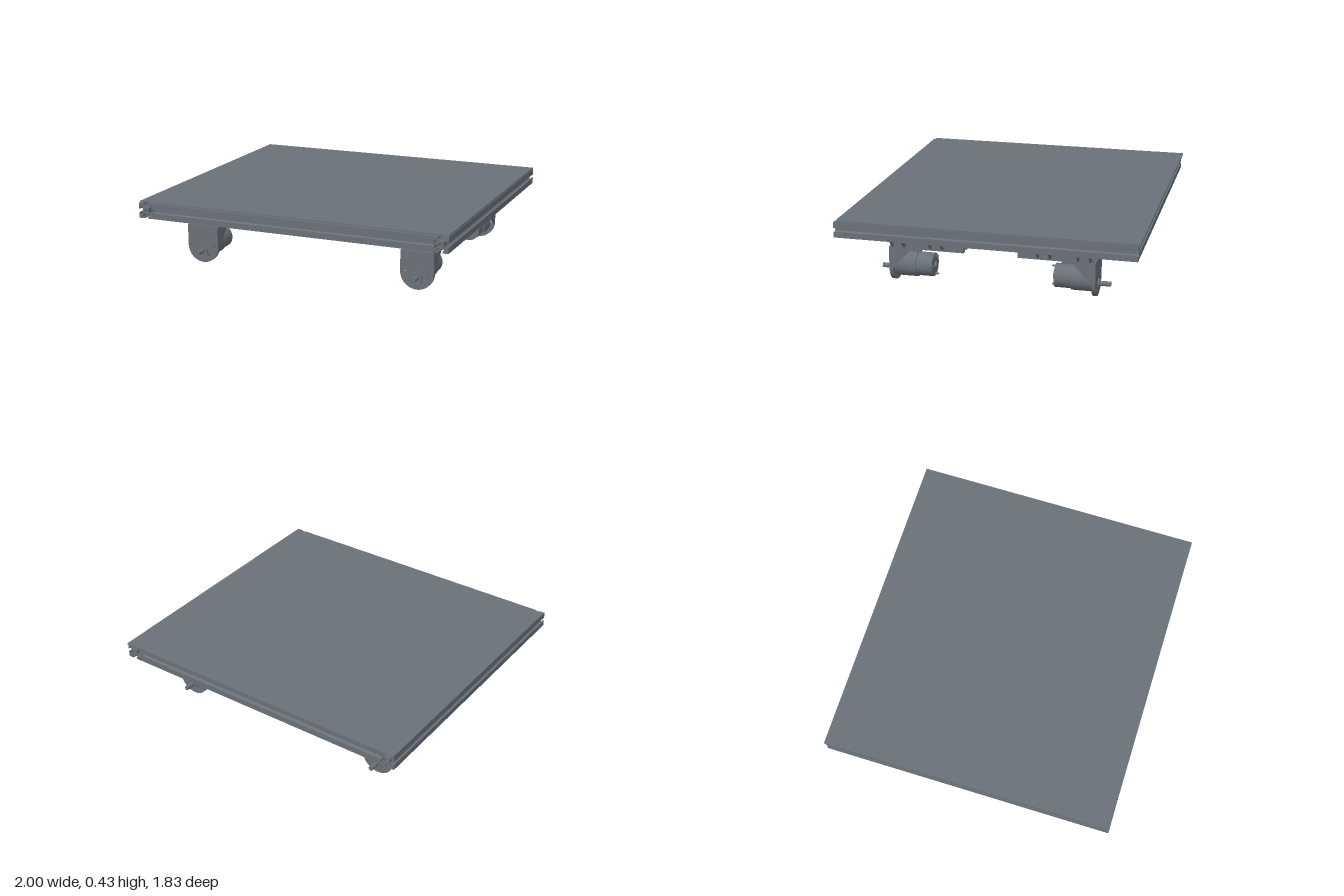
import * as THREE from 'three';

const metal = new THREE.MeshStandardMaterial({ color: 0x6a7178 });
metal.name = 'slate grey metal';

function add(parent, name, geometry, x = 0, y = 0, z = 0) {
  const mesh = new THREE.Mesh(geometry, metal);
  mesh.name = name;
  mesh.position.set(x, y, z);
  parent.add(mesh);
  return mesh;
}

function extrude(shape, depth) {
  return new THREE.ExtrudeGeometry(shape, { depth, bevelEnabled: false, curveSegments: 12 })
    .translate(0, 0, -depth / 2);
}

function polygon(points) {
  return new THREE.Shape(points.map(([x, y]) => new THREE.Vector2(x, y)));
}

function hole(shape, x, y, r) {
  shape.holes.push(new THREE.Path().absarc(x, y, r, 0, Math.PI * 2, true));
}

// Slotted square rail running along z; one quarter of the section is turned four times
const HALF = 0.0475;
const QUARTER = [[0.4, 0.22], [0.68, 0.52], [0.8, 0.52], [0.8, 0.25], [1, 0.25], [1, 1],
  [0.25, 1], [0.25, 0.8], [0.52, 0.8], [0.52, 0.68], [0.22, 0.4]];
function railGeometry(length, half = HALF) {
  const points = [];
  for (let k = 0; k < 4; k++) {
    const c = Math.round(Math.cos(k * Math.PI / 2)), s = Math.round(Math.sin(k * Math.PI / 2));
    for (const [x, y] of QUARTER) points.push([half * (x * c - y * s), half * (x * s + y * c)]);
  }
  const shape = polygon(points);
  hole(shape, 0, 0, half * 0.2);
  return extrude(shape, length);
}

// Cylinder lying along z between two z values
function rod(r, z0, z1, segments = 32) {
  return new THREE.CylinderGeometry(r, r, Math.abs(z1 - z0), segments)
    .rotateX(Math.PI / 2).translate(0, 0, (z0 + z1) / 2);
}

// Angle bracket: legs along +x and -y, closed by two triangular cheeks
function cornerBracket(parent, x, y, z, rx, ry) {
  const g = new THREE.Group();
  g.name = 'cornerBracket';
  const size = 0.09, width = 0.082, t = 0.01;
  add(g, 'bracketTopLeg', new THREE.BoxGeometry(size, t, width), size / 2, -t / 2, 0);
  add(g, 'bracketSideLeg', new THREE.BoxGeometry(t, size, width), t / 2, -size / 2, 0);
  const cheek = polygon([[0, 0], [0, -size], [t, -size], [size, -t], [size, 0]]);
  for (const s of [-1, 1]) add(g, 'bracketCheek', extrude(cheek, t), 0, 0, s * (width - t) / 2);
  add(g, 'bracketBolt', new THREE.CylinderGeometry(0.014, 0.014, 0.008, 16).rotateZ(Math.PI / 2), t + 0.004, -0.045, 0);
  g.position.set(x, y, z);
  g.rotation.set(rx, ry, 0);
  parent.add(g);
}

// Motor bracket with geared motor, shaft pointing to +z
function motorUnit() {
  const g = new THREE.Group();
  g.name = 'motorUnit';
  const R = 0.105, cy = 0.105;

  // Face plate with a round foot and bolt holes
  const face = new THREE.Shape();
  face.moveTo(R, 0.235);
  face.lineTo(-R, 0.235);
  face.lineTo(-R, cy);
  face.absarc(0, cy, R, Math.PI, Math.PI * 2, false);
  face.lineTo(R, 0.235);
  for (const s of [-1, 1]) {
    hole(face, s * 0.08, cy, 0.008);
    for (const y of [0.045, 0.165]) hole(face, s * 0.038, y, 0.008);
  }
  add(g, 'mountFace', extrude(face, 0.024), 0, 0, 0.62);

  // Top flange and slanted side walls
  add(g, 'mountFlange', new THREE.BoxGeometry(2 * R, 0.018, 0.2), 0, 0.226, 0.53);
  const wall = extrude(polygon([[0.61, 0.235], [0.5, 0.217], [0.61, 0.1]]), 0.012).rotateY(-Math.PI / 2);
  for (const s of [-1, 1]) add(g, 'mountSideWall', wall, s * (R - 0.006), 0, 0);

  // Gearbox, motor can, rear boss and terminals
  add(g, 'gearbox', rod(0.08, 0.475, 0.61), 0, cy, 0);
  add(g, 'motorCan', rod(0.072, 0.375, 0.475), 0, cy, 0);
  add(g, 'rearBoss', rod(0.022, 0.362, 0.375, 20), 0, cy, 0);
  for (const s of [-1, 1]) {
    add(g, 'terminal', new THREE.BoxGeometry(0.016, 0.006, 0.025), 0, cy + s * 0.058, 0.366);
    add(g, 'rearScrew', rod(0.009, 0.37, 0.375, 12), s * 0.045, cy, 0);
  }

  // Offset output shaft
  add(g, 'shaftCollar', rod(0.032, 0.63, 0.642, 24), 0, 0.075, 0);
  add(g, 'shaft', rod(0.015, 0.63, 0.708, 20), 0, 0.075, 0);
  return g;
}

export function createModel() {
  const root = new THREE.Group();
  root.name = 'wheeledPlatformChassis';
  const body = new THREE.Group();
  body.name = 'chassis';
  body.rotation.y = 0.004;
  root.add(body);

  // Deck plate
  add(body, 'deckPlate', new THREE.BoxGeometry(1.988, 0.008, 1.808), -0.003, 0.429, -0.012);

  // Outer frame and cross rails
  const railY = 0.3775;
  const sideRail = railGeometry(1.815);
  for (const s of [-1, 1]) add(body, 'sideRail', sideRail, s * 0.948, railY, 0.003);
  const crossRail = railGeometry(1.8).rotateY(Math.PI / 2);
  for (const z of [0.862, 0.568, 0.328, -0.328, -0.568, -0.856]) add(body, 'crossRail', crossRail, 0, railY, z);

  // Four corner units: paired short rails, angle brackets and a motor
  const shortRail = railGeometry(0.455, 0.0515);
  for (const back of [0, 1]) {
    const end = new THREE.Group();
    end.name = back ? 'backEnd' : 'frontEnd';
    end.rotation.y = back * Math.PI;
    body.add(end);
    for (const side of [-1, 1]) {
      const unit = new THREE.Group();
      unit.name = 'cornerUnit';
      unit.position.x = side * 0.713;
      end.add(unit);
      for (const s of [-1, 1]) {
        add(unit, 'shortRail', shortRail, s * 0.052, 0.2815, 0.393);
        for (const z of [0.568, 0.328]) cornerBracket(unit, s * 0.104, 0.33, z, 0, s > 0 ? 0 : Math.PI);
      }
      unit.add(motorUnit());
      // Bracket tying the inner cross rail to the side rail
      cornerBracket(end, side * 0.9, railY, 0.28, Math.PI / 2, side > 0 ? Math.PI : 0);
    }
  }
  return root;
}
